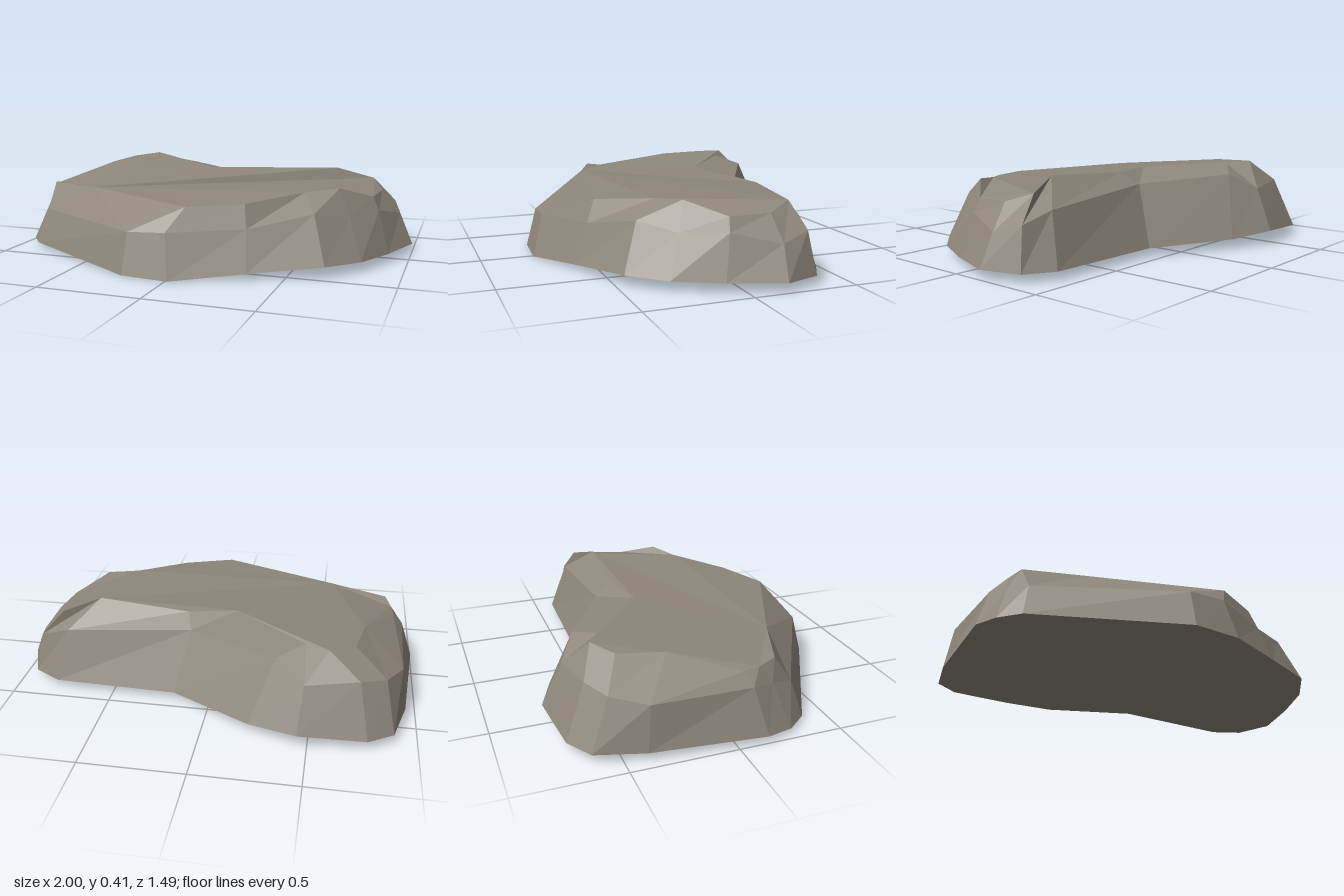
import * as THREE from 'three';

// Three matching rings of corners, counter-clockwise from the front tip (seen from above)
const foot = [
  [0.01, 0, 0.74], [0.34, 0.03, 0.605], [0.67, 0.055, 0.47], [0.81, 0.05, 0.31], [0.91, 0.045, 0.09], [1, 0.045, -0.16],
  [0.93, 0.04, -0.34], [0.79, 0.04, -0.42], [0.18, 0.04, -0.44], [-0.22, 0.05, -0.66], [-0.45, 0.07, -0.745], [-0.77, 0.05, -0.71],
  [-0.89, 0.045, -0.63], [-0.95, 0.04, -0.4], [-1, 0.035, 0.14], [-0.96, 0.025, 0.27], [-0.88, 0.025, 0.37], [-0.22, 0.005, 0.73],
];
const shoulder = [
  [-0.02, 0.21, 0.685], [0.32, 0.22, 0.54], [0.6, 0.28, 0.39], [0.74, 0.24, 0.24], [0.85, 0.25, 0.05], [0.93, 0.2, -0.17],
  [0.89, 0.24, -0.31], [0.74, 0.29, -0.34], [0.11, 0.335, -0.32], [-0.33, 0.36, -0.56], [-0.47, 0.28, -0.65], [-0.72, 0.3, -0.61],
  [-0.84, 0.28, -0.54], [-0.92, 0.25, -0.38], [-0.93, 0.25, 0.09], [-0.89, 0.23, 0.2], [-0.84, 0.2, 0.32], [-0.21, 0.2, 0.68],
];
const rim = [
  [0.05, 0.32, 0.61], [0.3, 0.33, 0.5], [0.53, 0.36, 0.28], [0.68, 0.375, 0.2], [0.82, 0.315, 0.04], [0.84, 0.32, -0.15],
  [0.78, 0.36, -0.27], [0.6, 0.415, -0.2], [0.14, 0.39, -0.23], [-0.1, 0.39, -0.18], [-0.46, 0.395, -0.47], [-0.57, 0.41, -0.54],
  [-0.69, 0.395, -0.46], [-0.73, 0.385, -0.24], [-0.88, 0.31, 0.06], [-0.87, 0.315, 0.14], [-0.84, 0.33, 0.23], [-0.55, 0.335, 0.34],
];

// Flat-shaded geometry from a list of corner triples
function facets(corners) {
  const geometry = new THREE.BufferGeometry();
  geometry.setAttribute('position', new THREE.Float32BufferAttribute(corners.flat(), 3));
  geometry.computeVertexNormals();
  return geometry;
}

// Band of sloping faces between two rings
function band(lower, upper) {
  const corners = [];
  lower.forEach((a, i) => {
    const j = (i + 1) % lower.length;
    corners.push(a, lower[j], upper[j], a, upper[j], upper[i]);
  });
  return facets(corners);
}

// Cap that fills one ring, facing up or down
function cap(ring, up) {
  const outline = ring.map(([x, , z]) => new THREE.Vector2(x, -z));
  const corners = [];
  for (const [a, b, c] of THREE.ShapeUtils.triangulateShape(outline, [])) {
    corners.push(ring[a], ring[up ? b : c], ring[up ? c : b]);
  }
  return facets(corners);
}

export function createModel() {
  const stone = new THREE.MeshStandardMaterial({ color: 0x8f877b });
  stone.name = 'warm grey stone';
  stone.flatShading = true;

  const rock = new THREE.Group();
  rock.name = 'rock';
  const add = (name, geometry) => {
    const mesh = new THREE.Mesh(geometry, stone);
    mesh.name = name;
    rock.add(mesh);
  };

  add('sides', band(foot, shoulder));
  add('bevel', band(shoulder, rim));
  add('top', cap(rim, true));
  add('underside', cap(foot, false));
  return rock;
}
